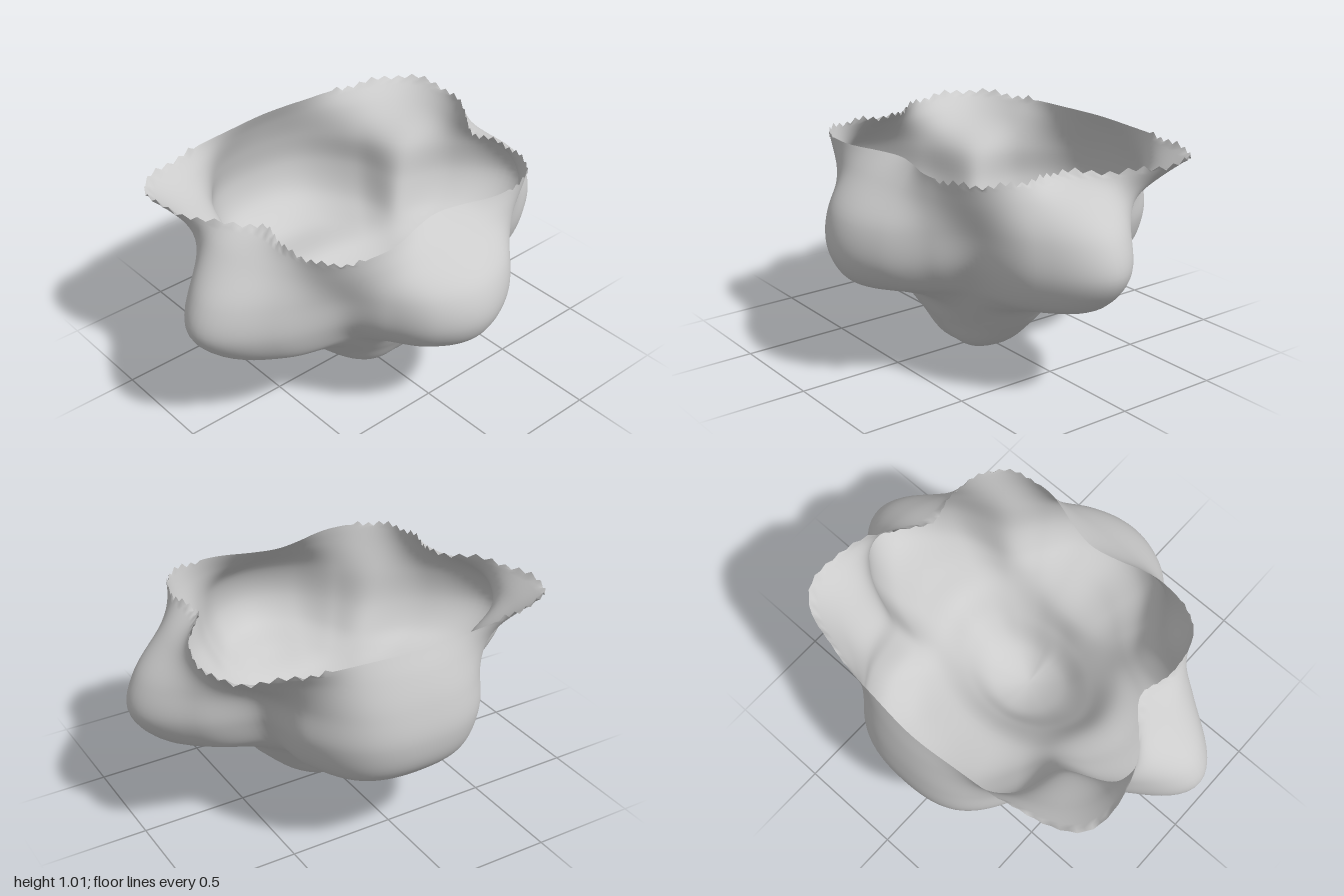
import * as THREE from 'three';

// Half of the shell in 18 degree steps, from front (0) round the side (90) to the back (180).
// Three base radii, two underside radius/height pairs, then four radii up to the rim
const SECTIONS = [
  [0.13, 0.23, 0.31, 0.5, 0.4, 0.68, 0.475, 0.74, 0.7, 0.54, 0.41],         // front lobe
  [0.14, 0.235, 0.32, 0.47, 0.405, 0.63, 0.48, 0.7, 0.68, 0.56, 0.46],
  [0.155, 0.255, 0.355, 0.44, 0.405, 0.54, 0.48, 0.615, 0.635, 0.62, 0.6],
  [0.17, 0.285, 0.4, 0.47, 0.405, 0.53, 0.48, 0.6, 0.64, 0.685, 0.71],      // front hollow
  [0.18, 0.325, 0.45, 0.59, 0.39, 0.73, 0.46, 0.805, 0.79, 0.73, 0.68],
  [0.185, 0.345, 0.47, 0.64, 0.375, 0.88, 0.45, 1.0, 0.95, 0.79, 0.62],     // side lobe
  [0.185, 0.33, 0.45, 0.6, 0.39, 0.74, 0.46, 0.83, 0.83, 0.825, 0.845],
  [0.18, 0.31, 0.43, 0.52, 0.41, 0.57, 0.48, 0.63, 0.69, 0.865, 1.0],       // back flare
  [0.177, 0.29, 0.42, 0.57, 0.38, 0.69, 0.45, 0.76, 0.765, 0.815, 0.88],
  [0.173, 0.278, 0.41, 0.65, 0.35, 0.81, 0.44, 0.867, 0.85, 0.815, 0.79],
  [0.17, 0.273, 0.405, 0.67, 0.335, 0.835, 0.45, 0.88, 0.86, 0.815, 0.77],  // back lobe
];
const AXIS_Z = 0.07;
const AROUND = 180, UP = 60;

// The eleven values at any angle, by a smooth periodic spline through the mirrored sections
function sectionAt(angle) {
  const u = (angle / (2 * Math.PI)) * 20;
  const i = Math.floor(u), f = u - i;
  const at = (n) => {
    const k = (n + 20) % 20;
    return SECTIONS[k > 10 ? 20 - k : k];
  };
  const [a, b, c, d] = [at(i - 1), at(i), at(i + 1), at(i + 2)];
  return b.map((v, k) => v + 0.5 * f * (c[k] - a[k]
    + f * (2 * a[k] - 5 * v + 4 * c[k] - d[k] + f * (3 * (v - c[k]) + d[k] - a[k]))));
}

// Upright curve from the base to the rim at one angle
function uprightCurve(angle) {
  const s = sectionAt(angle);
  const profile = [
    [-s[0], 0.06], [0, 0], [s[0], 0.06], [s[1], 0.195], [s[2], 0.325],
    [s[3], s[4]], [s[5], s[6]], [s[7], 0.6], [s[8], 0.76], [s[9], 0.9], [s[10], 0.995],
  ];
  return new THREE.CatmullRomCurve3(profile.map(([r, y]) =>
    new THREE.Vector3(r * Math.sin(angle), y, AXIS_Z + r * Math.cos(angle))));
}

function shellGeometry() {
  const positions = [], index = [];
  for (let i = 0; i < AROUND; i++) {
    const curve = uprightCurve((i / AROUND) * 2 * Math.PI);
    for (let j = 0; j <= UP; j++) {
      const p = curve.getPoint(0.1 + (0.9 * j) / UP);
      const r = Math.hypot(p.x, p.z - AXIS_Z);
      p.x += 0.03 * Math.max(0, 1 - r * r); // base sits slightly off centre
      // Ragged rim along the sides and corners
      if (j === UP && Math.abs(p.x) > 0.42) {
        p.y += (i % 2 ? 1 : -1) * (0.011 + 0.008 * Math.sin(i * 2.3));
      }
      positions.push(p.x, p.y, p.z);
    }
  }
  const row = UP + 1;
  for (let i = 0; i < AROUND; i++) {
    for (let j = 0; j < UP; j++) {
      const a = i * row + j, b = ((i + 1) % AROUND) * row + j;
      if (j > 0) index.push(a, b, a + 1);
      index.push(b, b + 1, a + 1);
    }
  }
  const geometry = new THREE.BufferGeometry();
  geometry.setAttribute('position', new THREE.Float32BufferAttribute(positions, 3));
  geometry.setIndex(index);
  geometry.computeVertexNormals();

  // One shared normal where all curves meet at the base
  const normal = geometry.attributes.normal;
  for (let i = 0; i < AROUND; i++) normal.setXYZ(i * row, 0, -1, 0);
  return geometry;
}

export function createModel() {
  const group = new THREE.Group();
  group.name = 'lobedBowl';
  const material = new THREE.MeshStandardMaterial({ color: 0xcccccc, side: THREE.DoubleSide });
  const shell = new THREE.Mesh(shellGeometry(), material);
  shell.name = 'bowlShell';
  group.add(shell);
  return group;
}
